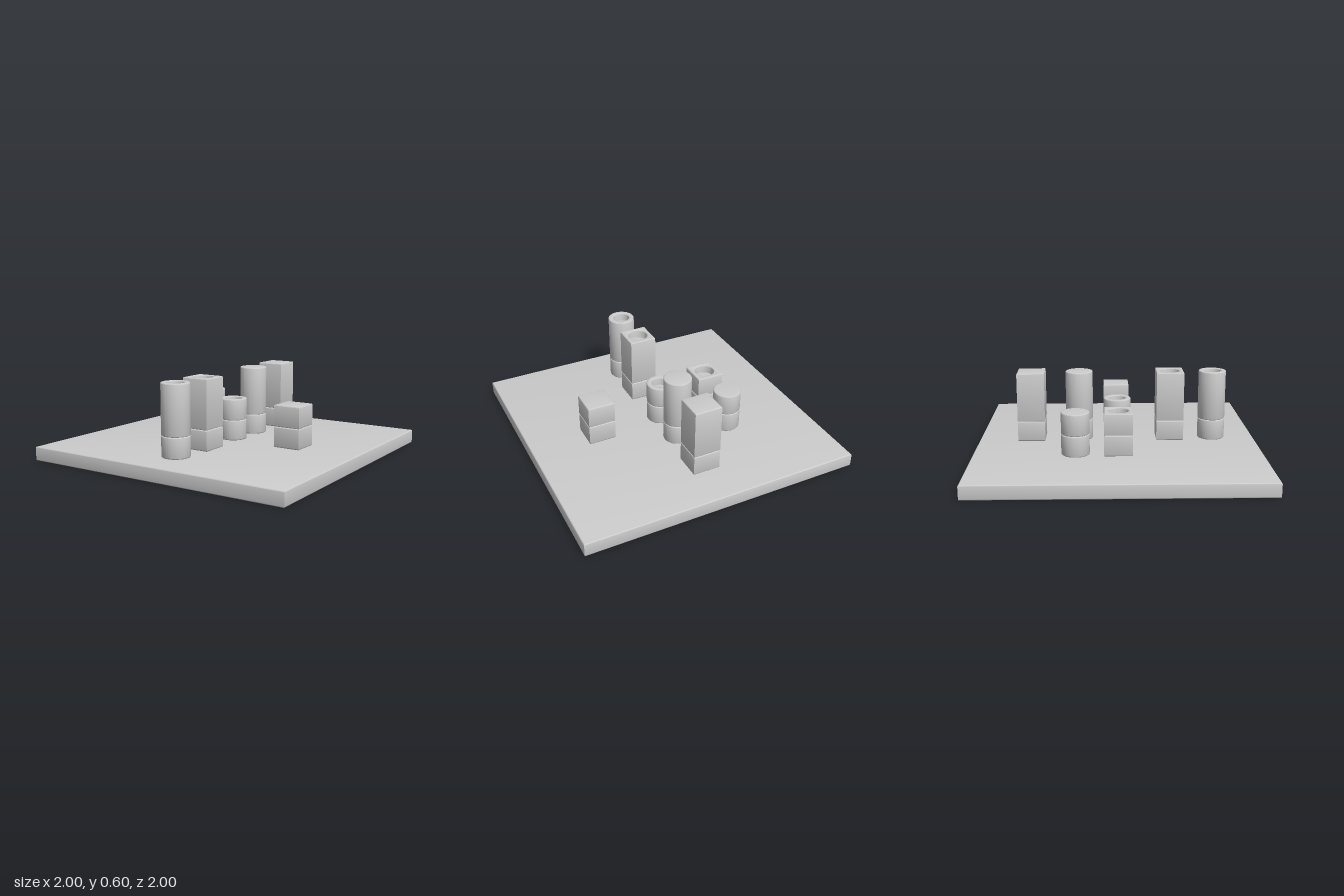
import * as THREE from 'three';
import { toCreasedNormals } from 'three/addons/utils/BufferGeometryUtils.js';

const material = new THREE.MeshStandardMaterial({ color: 0xcccccc });
const BOARD_TOP = 0.1, WAIST = 0.247, HALF = 0.098, HOLE_DEPTH = 0.06;

function circle(radius, PathType = THREE.Shape) {
  return new PathType().absarc(0, 0, radius, 0, Math.PI * 2, false);
}

function square(half) {
  return new THREE.Shape([[-1, -1], [1, -1], [1, 1], [-1, 1]]
    .map(([x, y]) => new THREE.Vector2(x * half, y * half)));
}

// Upright prism with softened edges, from y0 to y1
function prism(name, shape, y0, y1, bevel) {
  const geometry = new THREE.ExtrudeGeometry(shape, {
    depth: y1 - y0 - 2 * bevel, curveSegments: 48,
    bevelThickness: bevel, bevelSize: bevel, bevelOffset: -bevel, bevelSegments: 3,
  });
  geometry.rotateX(-Math.PI / 2).translate(0, y0 + bevel, 0);
  const mesh = new THREE.Mesh(toCreasedNormals(geometry, 0.6), material);
  mesh.name = name;
  return mesh;
}

// Game piece: a foot, a groove and a body that may be hollow on top
function piece({ name, x, z, round, tall, hollow }) {
  const group = new THREE.Group();
  group.name = name;
  group.position.set(x, 0, z);
  const outline = () => (round ? circle(HALF) : square(HALF));
  const top = tall ? 0.6 : 0.4;
  const body = outline();
  group.add(prism('foot', outline(), BOARD_TOP, WAIST, 0.008));
  if (hollow) {
    const radius = round ? 0.06 : 0.07;
    body.holes.push(circle(radius, THREE.Path));
    const floor = new THREE.Mesh(new THREE.CircleGeometry(radius + 0.004, 48), material);
    floor.name = 'hollowFloor';
    floor.rotation.x = -Math.PI / 2;
    floor.position.y = top - HOLE_DEPTH;
    group.add(floor);
  }
  group.add(prism('body', body, WAIST, top, 0.007));
  return group;
}

export function createModel() {
  const model = new THREE.Group();
  model.name = 'boardWithPieces';
  model.add(prism('board', square(1), 0, BOARD_TOP, 0.008));

  const pieces = [
    { name: 'tallSquareSolid', x: 0, z: -0.62, tall: true },
    { name: 'tallRoundSolid', x: 0, z: -0.275, tall: true, round: true },
    { name: 'shortRoundSolid', x: -0.39, z: -0.295, round: true },
    { name: 'shortSquareHollow', x: -0.365, z: 0, hollow: true },
    { name: 'shortRoundHollow', x: 0, z: 0, round: true, hollow: true },
    { name: 'shortSquareSolid', x: 0.5, z: 0 },
    { name: 'tallSquareHollow', x: 0, z: 0.38, tall: true, hollow: true },
    { name: 'tallRoundHollow', x: 0, z: 0.69, tall: true, round: true, hollow: true },
  ];
  pieces.forEach((p) => model.add(piece(p)));
  return model;
}
